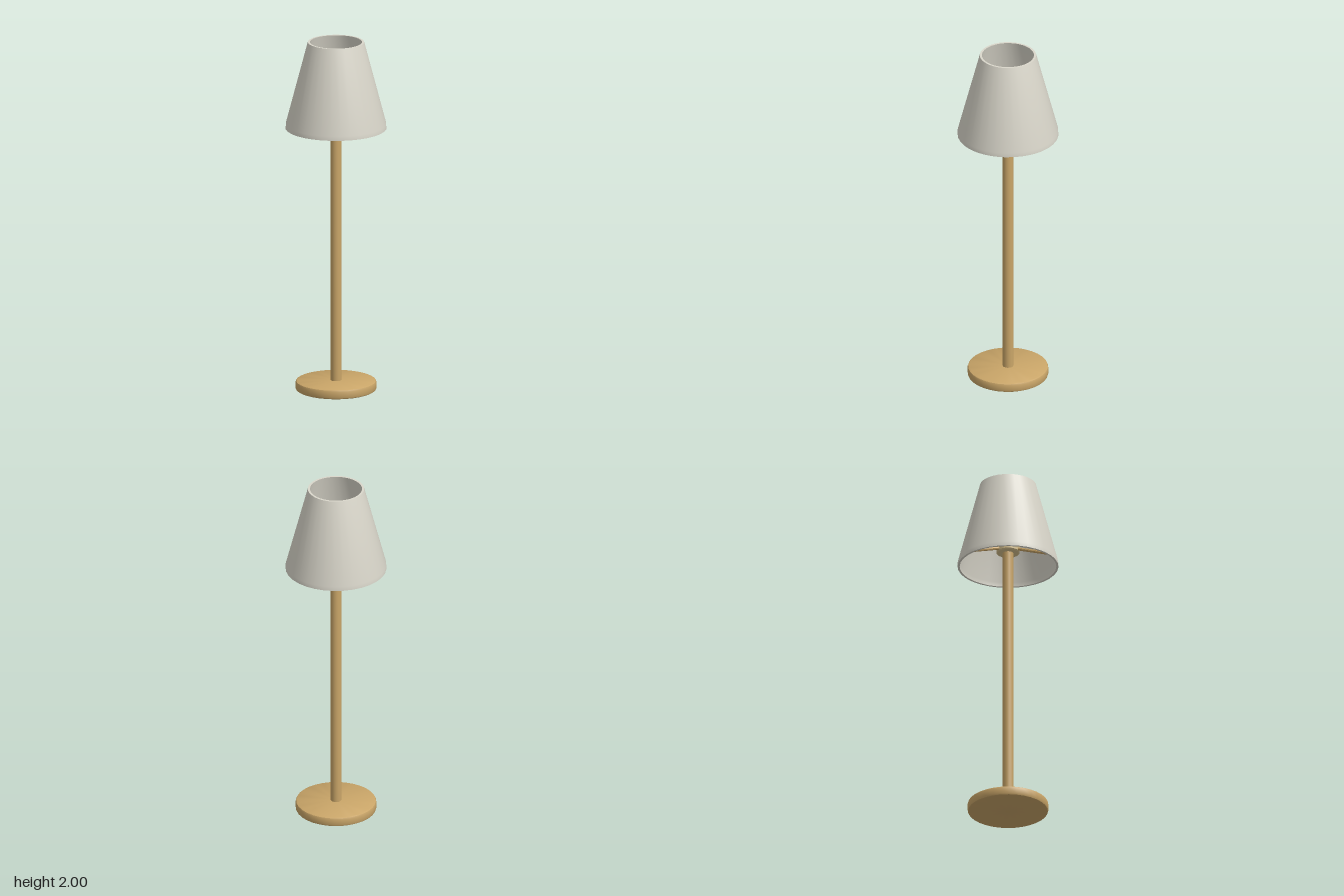
import * as THREE from 'three';
import { toCreasedNormals } from 'three/addons/utils/BufferGeometryUtils.js';

const wood = new THREE.MeshStandardMaterial({ color: 0xc9a568 });
wood.name = 'wood';
const paleBrass = new THREE.MeshStandardMaterial({ color: 0xd8c28f });
paleBrass.name = 'pale brass';
const fabric = new THREE.MeshStandardMaterial({ color: 0xdad7cb });
fabric.name = 'cream fabric';

// Turned part from a profile of [radius, height] points, listed counterclockwise
function turned(name, profile, segments, material) {
  const points = profile.map(([r, y]) => new THREE.Vector2(r, y));
  const geometry = toCreasedNormals(new THREE.LatheGeometry(points, segments), 0.6);
  const mesh = new THREE.Mesh(geometry, material);
  mesh.name = name;
  return mesh;
}

// Straight rod between two points
function rod(name, from, to, radius, material) {
  const axis = to.clone().sub(from);
  const geometry = toCreasedNormals(new THREE.CylinderGeometry(radius, radius, axis.length(), 8), 0.9);
  const mesh = new THREE.Mesh(geometry, material);
  mesh.position.copy(from).add(to).multiplyScalar(0.5);
  mesh.quaternion.setFromUnitVectors(new THREE.Vector3(0, 1, 0), axis.normalize());
  mesh.name = name;
  return mesh;
}

export function createModel() {
  const lamp = new THREE.Group();
  lamp.name = 'floorLamp';

  // Round foot with softened edges
  lamp.add(turned('base', [
    [0, 0], [0.215, 0], [0.222, 0.004], [0.225, 0.012],
    [0.225, 0.043], [0.222, 0.051], [0.215, 0.055], [0, 0.055],
  ], 32, wood));

  // Pole, ending just above the hub
  lamp.add(turned('pole', [[0, 0.05], [0.03, 0.05], [0.03, 1.645], [0, 1.645]], 16, wood));

  // Hub around the top of the pole
  lamp.add(turned('hub', [
    [0, 1.585], [0.06, 1.585], [0.066, 1.591],
    [0.066, 1.632], [0.06, 1.638], [0.028, 1.642], [0, 1.642],
  ], 16, paleBrass));

  // Three sloping spokes carrying the shade
  for (let i = 0; i < 3; i++) {
    const angle = Math.PI + (i * Math.PI * 2) / 3;
    const at = (r, y) => new THREE.Vector3(Math.sin(angle) * r, y, Math.cos(angle) * r);
    lamp.add(rod('spoke' + (i + 1), at(0.05, 1.605), at(0.268, 1.53), 0.009, wood));
  }

  // Hollow tapered shade with a short upright lower rim
  lamp.add(turned('shade', [
    [0.281, 1.505], [0.28, 1.53], [0.157, 2], [0.145, 2],
    [0.268, 1.53], [0.269, 1.505], [0.281, 1.505],
  ], 32, fabric));

  return lamp;
}
